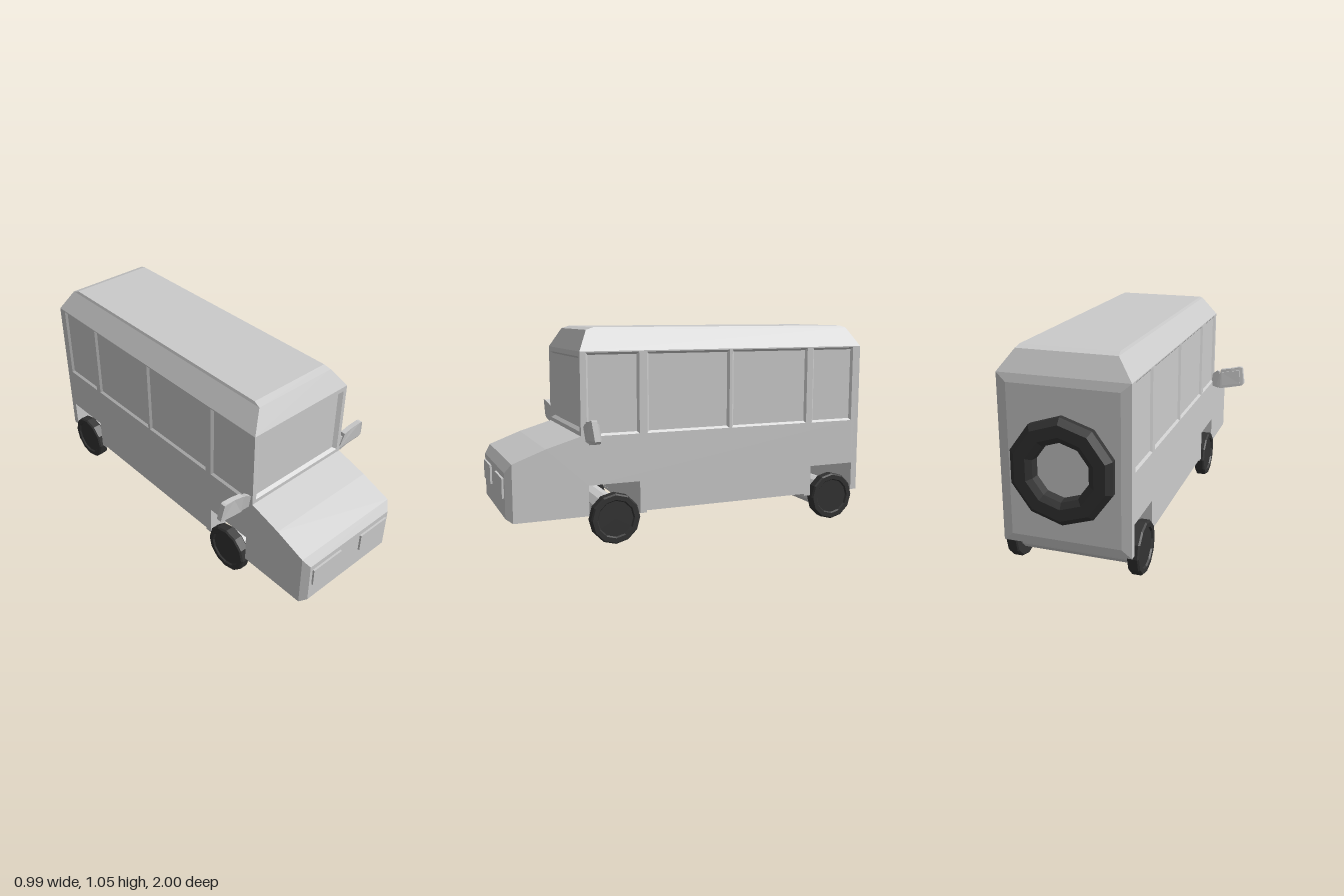
import * as THREE from 'three';

const W = 0.306; // half width of the body

const grey = new THREE.MeshStandardMaterial({ color: 0xcccccc, flatShading: true });
const dark = new THREE.MeshStandardMaterial({ color: 0x333333, flatShading: true });

function add(parent, name, geometry, material = grey) {
  const mesh = new THREE.Mesh(geometry, material);
  mesh.name = name;
  parent.add(mesh);
  return mesh;
}

// Geometry from a list of four-cornered faces, corners counter-clockwise
function quads(faces) {
  const pos = faces.flatMap(([a, b, c, d]) => [a, b, c, a, c, d].flat());
  const g = new THREE.BufferGeometry();
  g.setAttribute('position', new THREE.Float32BufferAttribute(pos, 3));
  g.computeVertexNormals();
  return g;
}

// Sloping sides through a series of four-cornered rings, closed by the last one
function loft(...rings) {
  const faces = [];
  for (let r = 0; r < rings.length - 1; r++) {
    const [A, B] = [rings[r], rings[r + 1]];
    for (let i = 0; i < 4; i++) {
      const j = (i + 1) % 4;
      faces.push([A[i], A[j], B[j], B[i]]);
    }
  }
  faces.push(rings[rings.length - 1]);
  return quads(faces);
}

// Rings facing up, forward, backward and sideways
const flatRing = (w, z0, z1, y) => [[-w, y, z1], [w, y, z1], [w, y, z0], [-w, y, z0]];
const frontRing = (w, y0, y1, z) => [[-w, y0, z], [w, y0, z], [w, y1, z], [-w, y1, z]];
const backRing = (w, y0, y1, z) => [[w, y0, z], [-w, y0, z], [-w, y1, z], [w, y1, z]];
const sideRing = (s, z0, z1, y0, y1, x) => {
  const ring = [[s * x, y0, z1], [s * x, y0, z0], [s * x, y1, z0], [s * x, y1, z1]];
  return s > 0 ? ring : ring.reverse();
};

const shapeOf = (pts) => new THREE.Shape(pts.map(([x, y]) => new THREE.Vector2(x, y)));
const rect = (x0, x1, y0, y1) => [[x0, y0], [x1, y0], [x1, y1], [x0, y1]];

function addBody(group) {
  // Side outline as [z, y]; the wheel arches cut right through
  const outline = [
    [0.96, 0.15], [0.595, 0.15], [0.595, 0.3], [0.335, 0.3], [0.335, 0.15],
    [-0.64, 0.15], [-0.64, 0.3], [-0.9, 0.3], [-0.9, 0.15], [-0.935, 0.15],
    [-0.935, 0.94], [0.63, 0.94], [0.63, 0.54], [0.8, 0.49], [0.96, 0.43],
  ];
  const windows = [[0.335, 0.6], [-0.15, 0.295], [-0.605, -0.165], [-0.89, -0.64]];
  const [y0, y1] = [0.537, 0.934];

  // Side walls with recessed windows
  for (const s of [1, -1]) {
    const wall = shapeOf(outline.map(([z, y]) => [-s * z, y]));
    for (const [a, b] of windows) wall.holes.push(shapeOf(rect(-s * a, -s * b, y0, y1)));
    add(group, 'sideWall', new THREE.ShapeGeometry(wall).rotateY(s * Math.PI / 2).translate(s * W, 0, 0));
    for (const [a, b] of windows) {
      const t = 0.011;
      add(group, 'sideWindow', loft(
        sideRing(s, a, b, y0, y1, W),
        sideRing(s, a + t, b - t, y0 + t, y1 - t, W - 0.01)));
    }
  }

  // Floor, arches and bonnet; back, roof, windscreen and nose are separate
  const strip = [];
  outline.forEach(([z, y], i) => {
    if ([9, 10, 11, 14].includes(i)) return;
    const [zn, yn] = outline[i + 1];
    strip.push([[-W, y, z], [-W, yn, zn], [W, yn, zn], [W, y, z]]);
  });
  add(group, 'floorAndBonnet', quads(strip));

  add(group, 'roof', loft(
    flatRing(W, -0.935, 0.63, 0.94),
    flatRing(0.234, -0.887, 0.577, 1.038),
    flatRing(0.228, -0.85, 0.54, 1.05)));
  add(group, 'nose', loft(frontRing(W, 0.15, 0.43, 0.96), frontRing(0.278, 0.17, 0.387, 0.99)));
  add(group, 'backDoor', loft(backRing(W, 0.15, 0.94, -0.935), backRing(0.26, 0.19, 0.9, -0.943)));

  // Windscreen recessed in its frame
  const frame = shapeOf(rect(-W, W, 0.54, 0.94));
  frame.holes.push(shapeOf(rect(-0.285, 0.285, 0.56, 0.916)));
  add(group, 'windscreenFrame', new THREE.ShapeGeometry(frame).translate(0, 0, 0.63));
  add(group, 'windscreen', loft(
    frontRing(0.285, 0.56, 0.916, 0.63),
    frontRing(0.265, 0.574, 0.905, 0.615)));

  for (const s of [1, -1]) {
    add(group, 'headlight', new THREE.BoxGeometry(0.19, 0.096, 0.02)).position.set(s * 0.166, 0.312, 0.99);
  }
  // Sill lips next to the arches
  for (const z of [0.318, -0.622]) {
    add(group, 'sillLip', new THREE.BoxGeometry(2 * W, 0.012, 0.035)).position.set(0, 0.145, z);
  }
}

// Lathe from [radius, height] points
const lathe = (pts, sides) =>
  new THREE.LatheGeometry(pts.map(([r, y]) => new THREE.Vector2(r, y)), sides);

function addWheels(group) {
  const profile = [
    [0, -0.028], [0.12, -0.028], [0.126, -0.022], [0.126, 0.02],
    [0.119, 0.028], [0.096, 0.028], [0.09, 0.02], [0, 0.02],
  ];
  for (const z of [0.465, -0.77]) {
    const axle = new THREE.CylinderGeometry(0.08, 0.08, 0.55, 12).rotateZ(Math.PI / 2);
    add(group, 'axle', axle).position.set(0, 0.126, z);
    for (const s of [1, -1]) {
      const wheel = lathe(profile, 12).rotateZ(-s * Math.PI / 2);
      add(group, 'wheel', wheel, dark).position.set(s * 0.295, 0.126, z);
    }
  }
  // Spare tyre ring on the back door
  const ring = [
    [0.13, 0], [0.225, 0], [0.248, 0.012], [0.248, 0.038], [0.22, 0.062],
    [0.165, 0.062], [0.137, 0.045], [0.13, 0],
  ];
  add(group, 'spareTyre', lathe(ring, 10).rotateX(-Math.PI / 2), dark).position.set(0, 0.532, -0.938);
}

// Flat outline [x, y] on one side, extruded from z0 to z1 and bent backwards at its ends
function bentPlate(s, pts, z0, z1) {
  const g = new THREE.ExtrudeGeometry(shapeOf(pts.map(([x, y]) => [s * x, y])),
    { depth: z1 - z0, bevelEnabled: false });
  const p = g.attributes.position;
  for (let i = 0; i < p.count; i++) {
    const dx = Math.abs(p.getX(i)) - 0.4;
    p.setZ(i, p.getZ(i) + z0 + 1.2 * dx * dx * (s * s) + 0.15 * (p.getY(i) - 0.57));
  }
  g.computeVertexNormals();
  return g;
}

function addMirrors(group) {
  const arm = [[0.3, 0.515], [0.345, 0.505], [0.345, 0.6], [0.332, 0.605], [0.3, 0.58]];
  const shell = [
    [0.332, 0.525], [0.352, 0.504], [0.41, 0.515], [0.483, 0.53], [0.493, 0.541],
    [0.478, 0.633], [0.465, 0.636], [0.41, 0.624], [0.354, 0.614],
  ];
  const glass = [[0.365, 0.525], [0.47, 0.543], [0.462, 0.618], [0.36, 0.6]];
  for (const s of [1, -1]) {
    add(group, 'mirrorArm', bentPlate(s, arm, 0.585, 0.605));
    add(group, 'mirrorShell', bentPlate(s, shell, 0.583, 0.61));
    add(group, 'mirrorGlass', bentPlate(s, glass, 0.575, 0.59));
  }
}

export function createModel() {
  const group = new THREE.Group();
  group.name = 'van';
  addBody(group);
  addWheels(group);
  addMirrors(group);
  return group;
}
